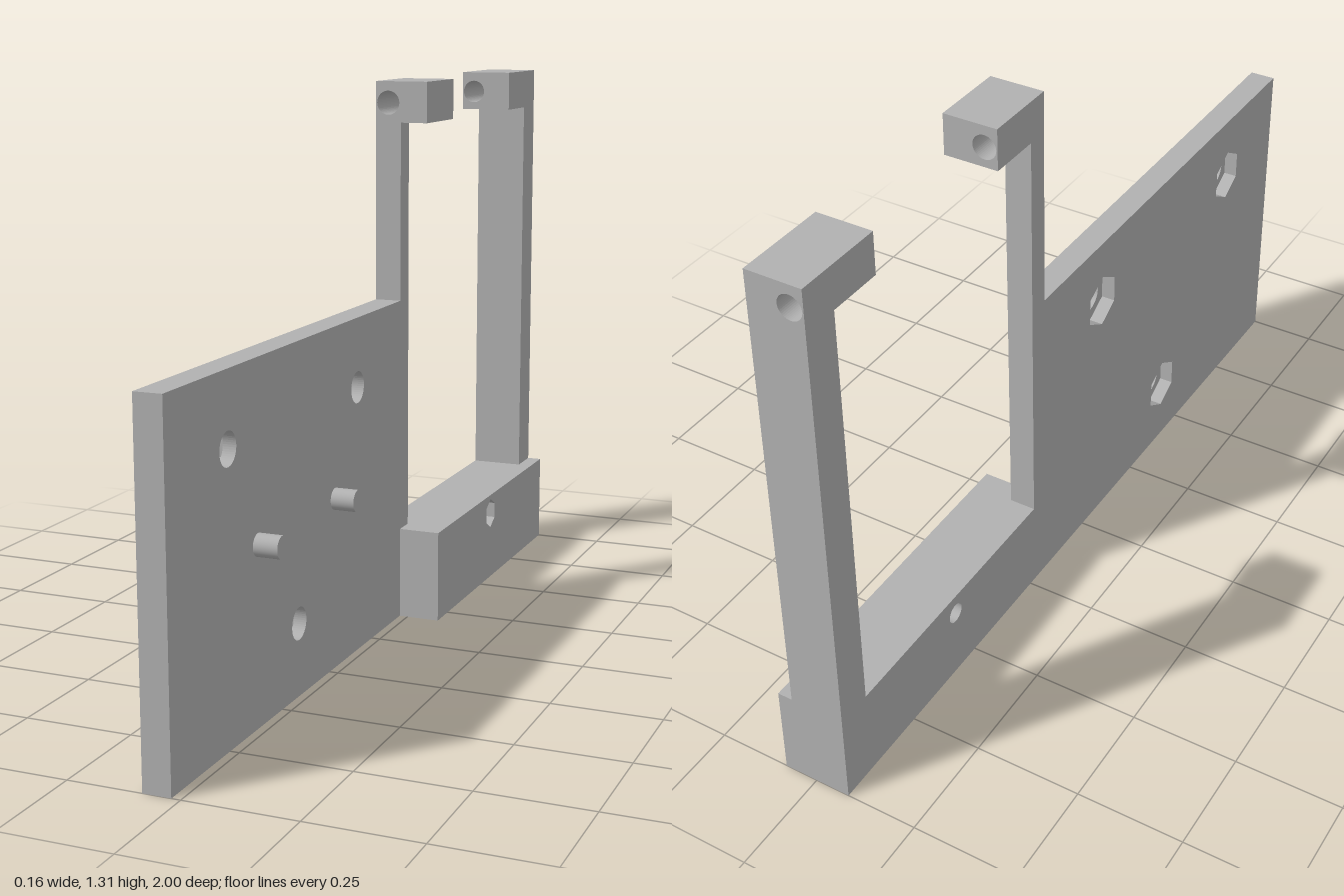
import * as THREE from 'three';

const material = new THREE.MeshStandardMaterial({ color: 0xb0b0b0 });
material.name = 'plain grey';

const outline = (points) => new THREE.Shape(points.map(([x, y]) => new THREE.Vector2(x, y)));
const rectangle = (x0, y0, x1, y1) => outline([[x0, y0], [x1, y0], [x1, y1], [x0, y1]]);

function roundHole(x, y, r) {
  const path = new THREE.Path();
  path.absarc(x, y, r, 0, Math.PI * 2, true);
  return path;
}

// Hexagon with a corner at the top
function hexHole(x, y, r) {
  const points = [];
  for (let i = 0; i < 6; i++) {
    const a = Math.PI / 2 - (i * Math.PI) / 3;
    points.push(new THREE.Vector2(x + r * Math.cos(a), y + r * Math.sin(a)));
  }
  return new THREE.Path(points);
}

function extrude(name, shape, holes, depth) {
  shape.holes.push(...holes);
  const geometry = new THREE.ExtrudeGeometry(shape, { depth, bevelEnabled: false, curveSegments: 24 });
  const mesh = new THREE.Mesh(geometry, material);
  mesh.name = name;
  return mesh;
}

// Side profile drawn as (-z, y), extruded from x0 to x1
function sidePart(name, shape, holes, x0, x1) {
  const mesh = extrude(name, shape, holes, x1 - x0);
  mesh.geometry.rotateY(Math.PI / 2).translate(x0, 0, 0);
  return mesh;
}

export function createModel() {
  const model = new THREE.Group();
  model.name = 'mountingBracket';

  const back = -0.083, face = -0.02, armFace = 0.045, baseFace = 0.08;
  const armBottom = 1.21, top = 1.306, baseTop = 0.222;

  // Plate with the slim front post, in two layers: hex pockets behind, round holes in front
  const plateOutline = () => outline([
    [-1, 0], [0.18, 0], [0.18, baseTop], [0.232, baseTop], [0.232, armBottom],
    [0.18, armBottom], [0.18, 0.787], [-1, 0.787],
  ]);
  const screws = [[-0.74, 0.626], [-0.084, 0.626], [-0.412, 0.165]];
  const pocketFloor = -0.05;
  model.add(
    sidePart('plateBackLayer', plateOutline(), screws.map(([u, y]) => hexHole(u, y, 0.067)), back, pocketFloor),
    sidePart('plateFrontLayer', plateOutline(), screws.map(([u, y]) => roundHole(u, y, 0.037)), pocketFloor, face),
  );

  // Locating pegs
  for (const z of [0.61, 0.215]) {
    const peg = new THREE.Mesh(new THREE.CylinderGeometry(0.025, 0.025, 0.055, 32), material);
    peg.name = 'peg';
    peg.rotation.z = Math.PI / 2;
    peg.position.set(face + 0.0275, 0.396, z);
    model.add(peg);
  }

  // Base block with a round bore opening into a hex pocket
  const baseOutline = () => rectangle(0.18, 0, 1, baseTop);
  model.add(
    sidePart('baseBlock', baseOutline(), [roundHole(0.572, 0.173, 0.024)], back, 0.035),
    sidePart('basePocketLayer', baseOutline(), [hexHole(0.572, 0.173, 0.038)], 0.035, baseFace),
  );

  // Thick rear post
  model.add(sidePart('rearPost', rectangle(0.915, baseTop, 1, armBottom), [], back, armFace));

  // Hooked heads, bored lengthwise
  for (const [name, z0, z1] of [['frontHead', -0.36, -0.18], ['rearHead', -1, -0.785]]) {
    const head = extrude(name, rectangle(back, armBottom, armFace, top), [roundHole(-0.052, 1.256, 0.028)], z1 - z0);
    head.position.z = z0;
    model.add(head);
  }

  return model;
}
